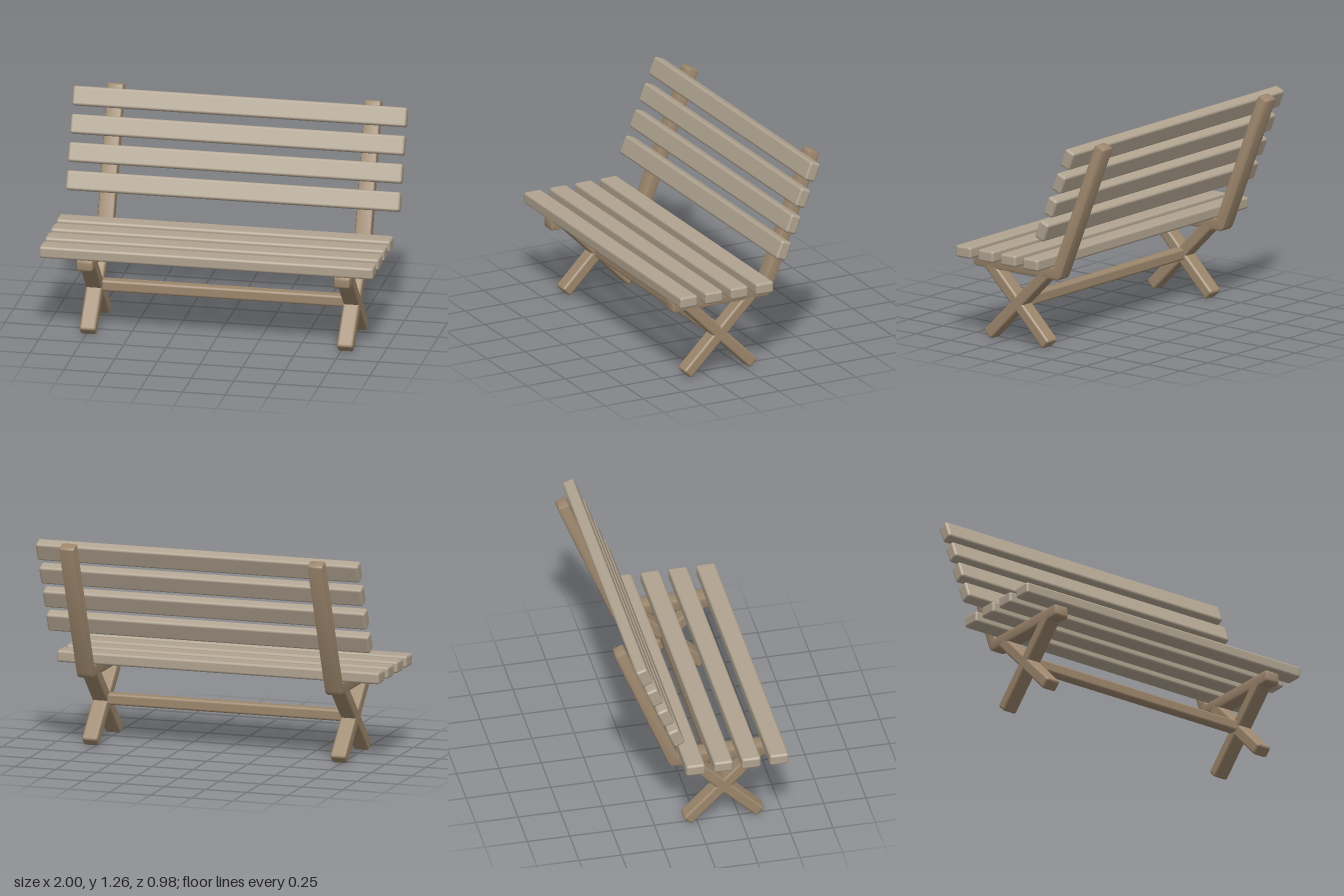
import * as THREE from 'three';
import { RoundedBoxGeometry } from 'three/addons/geometries/RoundedBoxGeometry.js';
import { toCreasedNormals } from 'three/addons/utils/BufferGeometryUtils.js';

const slatWood = new THREE.MeshStandardMaterial({ color: 0xb0a390 });
const frameWood = new THREE.MeshStandardMaterial({ color: 0x9c866c });
const TILT = 0.378; // backward lean of the backrest
const FRAME_WIDTH = 0.095;

// Beam with softened edges, turned about the x axis
function beam(name, size, position, material, turn = 0) {
  const mesh = new THREE.Mesh(new RoundedBoxGeometry(...size, 2, 0.015), material);
  mesh.name = name;
  mesh.position.set(...position);
  mesh.rotation.x = turn;
  return mesh;
}

// Polygon with rounded corners; each corner is [z, y, radius]
function roundedShape(corners) {
  const shape = new THREE.Shape();
  const n = corners.length;
  corners.forEach(([x, y, r], i) => {
    const here = new THREE.Vector2(x, y);
    const toward = ([a, b]) => new THREE.Vector2(a, b).sub(here).setLength(r).add(here);
    const start = toward(corners[(i + n - 1) % n]);
    const end = toward(corners[(i + 1) % n]);
    if (i === 0) shape.moveTo(start.x, start.y);
    else shape.lineTo(start.x, start.y);
    if (r > 0) shape.quadraticCurveTo(x, y, end.x, end.y);
  });
  shape.closePath();
  return shape;
}

// Seat rail and back post in one angled piece
function railAndPostGeometry() {
  const bevel = 0.012;
  const shape = roundedShape([
    [0.472, 0.423, 0.02], [0.472, 0.495, 0.02], [-0.115, 0.495, 0],
    [-0.424, 1.276, 0.02], [-0.491, 1.249, 0.02], [-0.163, 0.423, 0.03],
  ]);
  const geometry = new THREE.ExtrudeGeometry(shape, {
    depth: FRAME_WIDTH - 2 * bevel, curveSegments: 4,
    bevelSize: bevel, bevelThickness: bevel, bevelOffset: -bevel, bevelSegments: 2,
  });
  geometry.translate(0, 0, -FRAME_WIDTH / 2 + bevel);
  geometry.rotateY(-Math.PI / 2);
  return toCreasedNormals(geometry, 0.7);
}

export function createModel() {
  const bench = new THREE.Group();
  bench.name = 'bench';

  // Seat slats
  for (let i = 0; i < 4; i++) {
    bench.add(beam('seatSlat', [1.965, 0.07, 0.113], [-0.018, 0.532, 0.434 - i * 0.1645], slatWood));
  }

  // Backrest slats, stepping up along the posts
  for (let i = 0; i < 4; i++) {
    bench.add(beam('backSlat', [1.965, 0.113, 0.07],
      [0.013, 0.754 + i * 0.151, -0.167 - i * 0.0625], slatWood, -TILT));
  }

  // Side frames: angled rail with post, and crossed legs
  const railGeometry = railAndPostGeometry();
  for (const side of [-1, 1]) {
    const frame = new THREE.Group();
    frame.name = side > 0 ? 'leftFrame' : 'rightFrame';
    frame.position.x = 0.02 + side * 0.757;
    const rail = new THREE.Mesh(railGeometry, frameWood);
    rail.name = 'railAndPost';
    frame.add(rail);
    for (const lean of [-1, 1]) {
      frame.add(beam('crossedLeg', [FRAME_WIDTH, 0.61, 0.07],
        [0, 0.24, 0.155], frameWood, lean * Math.PI / 4));
    }
    bench.add(frame);
  }

  // Stretcher between the leg crossings
  bench.add(beam('stretcher', [1.46, 0.068, 0.068], [0.02, 0.247, 0.152], frameWood));

  return bench;
}
